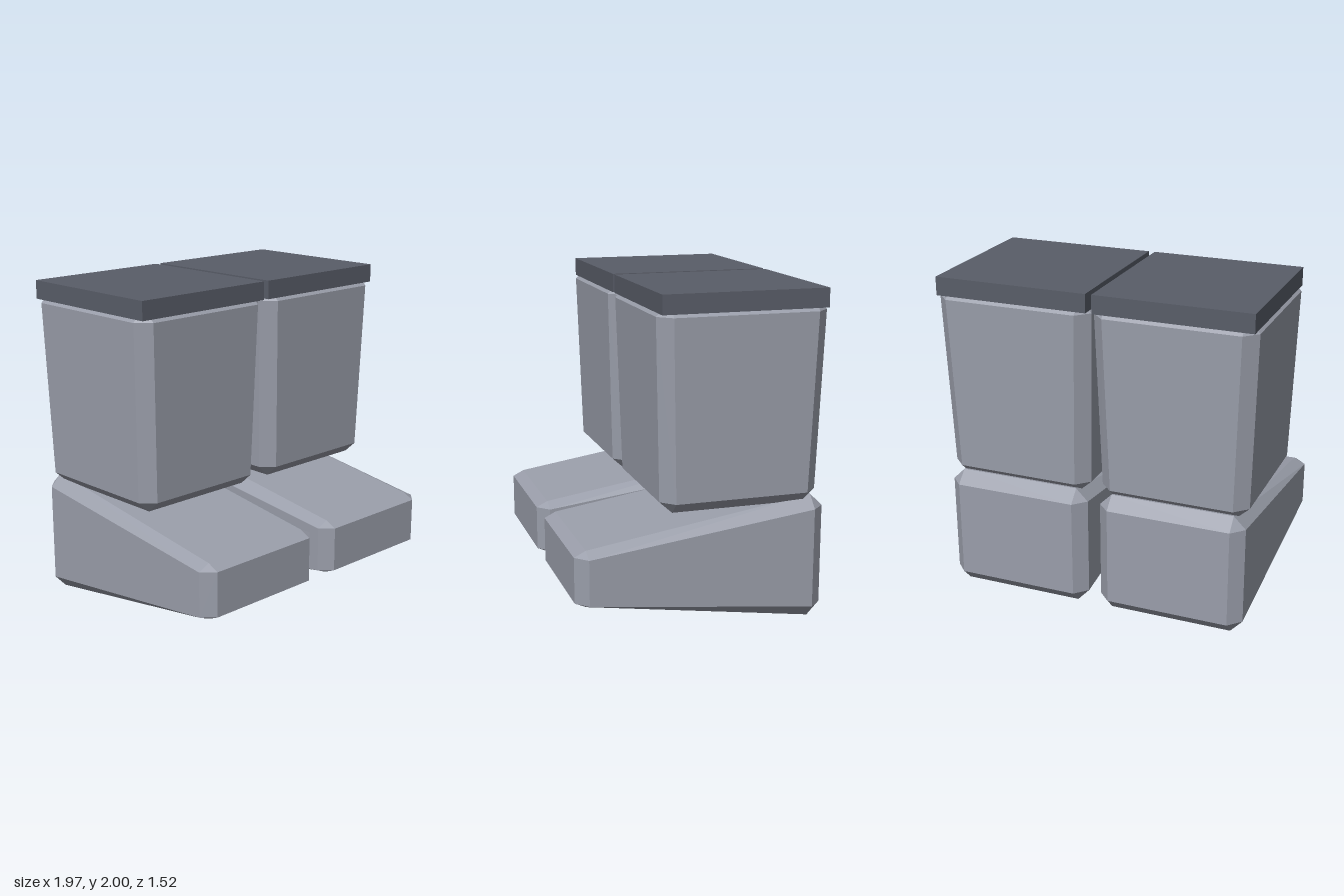
import * as THREE from 'three';
import { ConvexGeometry } from 'three/addons/geometries/ConvexGeometry.js';

// Chamfered block from its corners: each corner {x, xi, y, yi, z, zi} has outer
// and inset coordinates and gives one point on each of its three faces.
// x is mirrored to both sides.
function chamferedBlock(corners) {
  const points = [];
  for (const c of corners) {
    for (const s of [-1, 1]) {
      points.push(
        new THREE.Vector3(s * c.x, c.yi, c.zi),
        new THREE.Vector3(s * c.xi, c.y, c.zi),
        new THREE.Vector3(s * c.xi, c.yi, c.z)
      );
    }
  }
  return new ConvexGeometry(points);
}

export function createModel() {
  const group = new THREE.Group();
  const grey = new THREE.MeshStandardMaterial({ name: 'armour grey', color: 0x9a9eaa });
  const dark = new THREE.MeshStandardMaterial({ name: 'dark grey', color: 0x595d68 });

  // wedge foot, tall at the heel and low at the toe
  const footX = { x: 0.455, xi: 0.38 };
  const toe = { ...footX, z: 0.76, zi: 0.69 };
  const heel = { ...footX, z: -0.76, zi: -0.683 };
  const footGeometry = chamferedBlock([
    { ...toe, y: 0.555, yi: 0.52 },
    { ...toe, y: 0.215, yi: 0.245 },
    { ...heel, y: 0.765, yi: 0.69 },
    { ...heel, y: 0, yi: 0.08 },
  ]);

  // lower leg, widening towards the top
  const legBottom = { x: 0.458, xi: 0.38, y: 0.73, yi: 0.8 };
  const legTop = { x: 0.488, xi: 0.41, y: 1.95, yi: 1.87 };
  const legGeometry = chamferedBlock([
    { ...legBottom, z: 0.255, zi: 0.178 },
    { ...legBottom, z: -0.707, zi: -0.63 },
    { ...legTop, z: 0.285, zi: 0.205 },
    { ...legTop, z: -0.738, zi: -0.66 },
  ]);

  // flat plate on top of the leg
  const capGeometry = new THREE.BoxGeometry(0.952, 0.113, 0.993);
  capGeometry.translate(0, 1.9435, -0.227);

  for (const [side, sign] of [['left', 1], ['right', -1]]) {
    const boot = new THREE.Group();
    boot.name = side + 'Boot';
    boot.position.x = sign * 0.495;
    const parts = [['Foot', footGeometry, grey], ['Leg', legGeometry, grey], ['Cap', capGeometry, dark]];
    for (const [part, geometry, material] of parts) {
      const mesh = new THREE.Mesh(geometry, material);
      mesh.name = side + part;
      boot.add(mesh);
    }
    group.add(boot);
  }
  return group;
}
